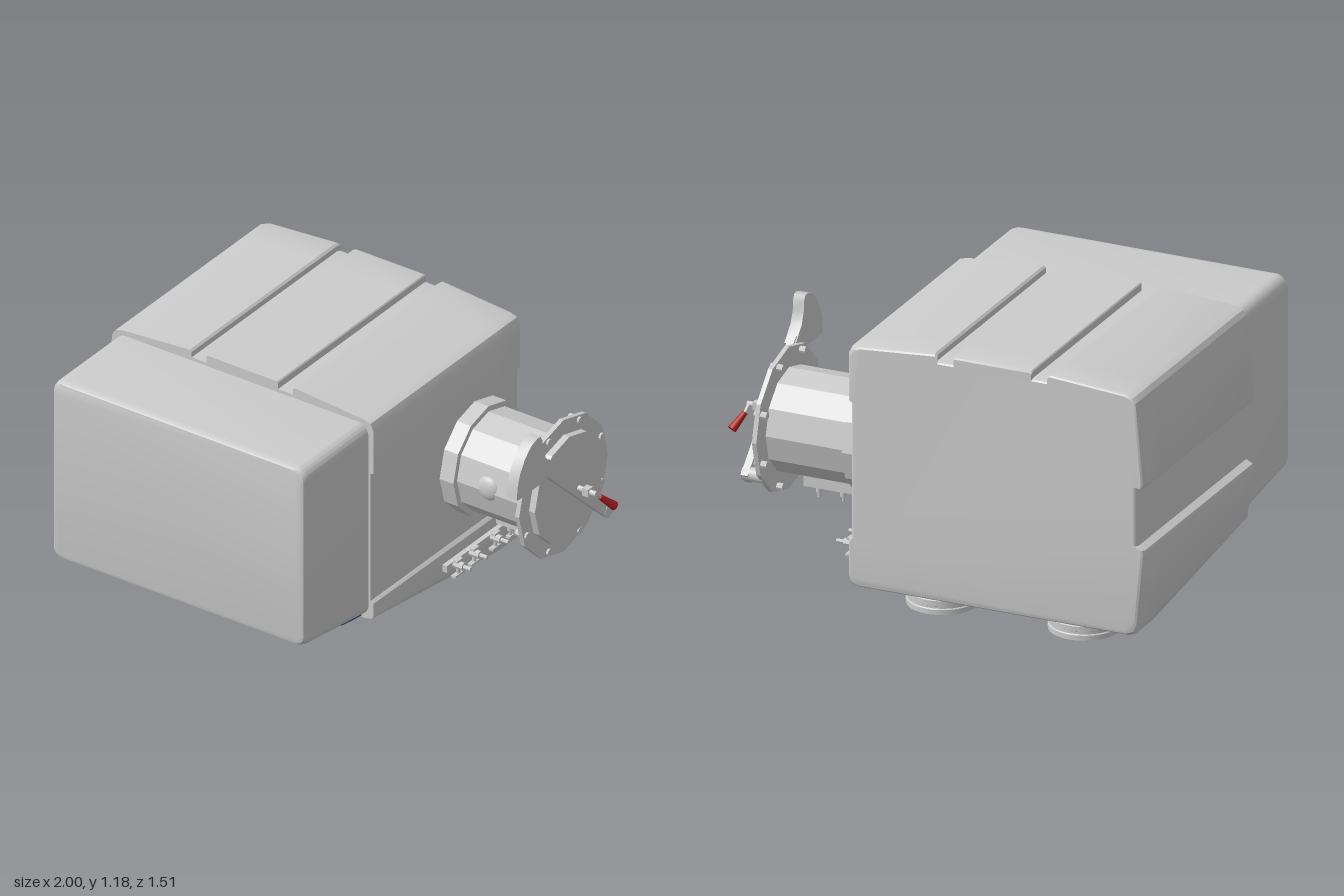
import * as THREE from 'three';
import { toCreasedNormals } from 'three/addons/utils/BufferGeometryUtils.js';

const grey = new THREE.MeshStandardMaterial({ color: 0xcccccc });
const greyDouble = new THREE.MeshStandardMaterial({ color: 0xcccccc, side: THREE.DoubleSide });
const paint = (color) => new THREE.MeshStandardMaterial({ color });
const blue = paint(0x24457a), red = paint(0xb02020), glass = paint(0x4a5552);

const DUCT_Y = 0.635, DUCT_Z = -0.435;

function add(parent, name, geo, mat = grey, x = 0, y = 0, z = 0) {
  const mesh = new THREE.Mesh(geo, mat);
  mesh.name = name;
  mesh.position.set(x, y, z);
  parent.add(mesh);
  return mesh;
}

const polygon = (pts) => new THREE.Shape(pts.map(([x, y]) => new THREE.Vector2(x, y)));

// Cylinder along x from x0 to x1
function rodX(r, x0, x1, sides = 12) {
  const g = new THREE.CylinderGeometry(r, r, x1 - x0, sides).rotateZ(-Math.PI / 2).translate((x0 + x1) / 2, 0, 0);
  return toCreasedNormals(g, 0.45);
}

// Extrude a front section through stations [z, bottom height, inset]; below the pivot it is squeezed to the bottom height
function housing(shape, stations, pivot, base) {
  const n = stations.length - 1;
  const g = new THREE.ExtrudeGeometry(shape, { depth: n, steps: n, bevelEnabled: false, curveSegments: 6 });
  const p = g.attributes.position;
  for (let i = 0; i < p.count; i++) {
    const [z, bottom, inset] = stations[Math.round(p.getZ(i))];
    let x = p.getX(i), y = p.getY(i);
    if (y < pivot) y = pivot - (pivot - y) * (pivot - bottom) / (pivot - base);
    x += (-0.32 - x) * inset;
    y += (0.65 - y) * inset;
    p.setXYZ(i, x, y, z);
  }
  return toCreasedNormals(g, 0.5);
}

function roundedRect(x0, x1, y0, y1, r) {
  const s = new THREE.Shape(), q = Math.PI / 2;
  s.absarc(x1 - r, y0 + r, r, -q, 0);
  s.absarc(x1 - r, y1 - r, r, 0, q);
  s.absarc(x0 + r, y1 - r, r, q, 2 * q);
  s.absarc(x0 + r, y0 + r, r, 2 * q, 3 * q);
  return s;
}

function buildHousings(root) {
  // Rear housing with ribbed roof and stepped side panels
  const section = polygon([
    [-0.92, 0.075], [0.31, 0.075], [0.34, 0.09], [0.35, 0.12], [0.35, 0.275], [0.335, 0.29],
    [0.335, 0.9], [0.35, 0.905], [0.35, 1.11], [0.335, 1.14], [0.3, 1.15],
    [-0.045, 1.178], [-0.055, 1.17], [-0.055, 1.145], [-0.13, 1.145], [-0.13, 1.175], [-0.135, 1.18],
    [-0.485, 1.18], [-0.49, 1.175], [-0.49, 1.145], [-0.565, 1.145], [-0.565, 1.17], [-0.575, 1.178],
    [-0.92, 1.152], [-0.95, 1.14], [-0.965, 1.12], [-1, 0.76], [-0.995, 0.745], [-0.965, 0.745],
    [-0.965, 0.48], [-0.995, 0.465], [-1, 0.45], [-0.97, 0.13], [-0.955, 0.09]]);
  add(root, 'rearHousing', housing(section, [
    [-0.75, 0.09, 0.022], [-0.745, 0.08, 0.01], [-0.728, 0.075, 0], [-0.58, 0.075, 0], [0.305, 0.2, 0],
  ], 0.285, 0.075));

  // Smooth front housing with a sloped underside
  add(root, 'frontHousing', housing(roundedRect(-0.95, 0.325, 0.21, 1.13, 0.055), [
    [0.3, 0.21, 0], [0.725, 0.272, 0], [0.743, 0.276, 0.005], [0.754, 0.28, 0.014], [0.758, 0.284, 0.026],
  ], 0.5, 0.21));
}

function buildUnderside(root) {
  // Framed window on the sloped underside of the rear housing
  const rear = new THREE.Group();
  rear.name = 'undersideWindow';
  rear.position.set(-0.315, 0.146, -0.08);
  rear.rotation.x = -0.14;
  root.add(rear);
  const outer = roundedRect(-0.58, 0.58, -0.31, 0.31, 0.01);
  outer.holes.push(new THREE.Path([[-0.55, -0.25], [-0.55, 0.24], [0.55, 0.24], [0.55, -0.25]]
    .map(([x, y]) => new THREE.Vector2(x, y))));
  const frame = new THREE.ExtrudeGeometry(outer, { depth: 0.014, bevelEnabled: false }).rotateX(Math.PI / 2);
  add(rear, 'windowFrame', frame, grey, 0, 0.002, 0);
  add(rear, 'windowPane', new THREE.BoxGeometry(1.1, 0.01, 0.49), glass, 0, -0.002, -0.005);
  for (let i = 0; i < 7; i++) for (const z of [-0.28, 0.275])
    add(rear, 'frameScrew', new THREE.CylinderGeometry(0.007, 0.007, 0.008, 8), grey, -0.54 + i * 0.18, -0.013, z);

  // Blue control strip, widening towards the duct side
  const front = new THREE.Group();
  front.name = 'controlStrip';
  front.position.set(0, 0.21, 0.3);
  front.rotation.x = -0.146;
  root.add(front);
  const strip = polygon([[-0.92, 0.005], [0.29, 0.005], [0.29, 0.14], [0.27, 0.16], [-0.1, 0.16],
    [-0.15, 0.13], [-0.22, 0.07], [-0.28, 0.055], [-0.92, 0.055]]);
  add(front, 'controlPanel',
    new THREE.ExtrudeGeometry(strip, { depth: 0.01, bevelEnabled: false }).rotateX(Math.PI / 2), blue, 0, 0.004, 0);
  for (const x of [0, 0.16]) {
    add(front, 'knobRing', new THREE.TorusGeometry(0.04, 0.006, 8, 24).rotateX(Math.PI / 2), grey, x, -0.007, 0.09);
    add(front, 'knob', new THREE.CylinderGeometry(0.022, 0.022, 0.016, 16), grey, x, -0.01, 0.09);
  }

  // Open round collars the body stands on
  const profile = [[0.135, 0.06], [0.14, 0], [0.152, 0], [0.152, 0.022], [0.147, 0.026], [0.147, 0.036], [0.155, 0.04],
    [0.155, 0.062], [0.147, 0.066], [0.147, 0.08], [0.155, 0.1]].map(([x, y]) => new THREE.Vector2(x, y));
  for (const x of [-0.64, 0.005]) {
    add(root, 'collar', toCreasedNormals(new THREE.LatheGeometry(profile, 32), 0.5), greyDouble, x, 0, -0.56);
    add(root, 'collarInside', new THREE.CircleGeometry(0.136, 32).rotateX(Math.PI / 2), grey, x, 0.055, -0.56);
  }
}

function buildDuct(root) {
  const duct = new THREE.Group();
  duct.name = 'sideDuct';
  duct.position.set(0, DUCT_Y, DUCT_Z);
  root.add(duct);
  add(duct, 'ductBase', rodX(0.25, 0.33, 0.405));
  add(duct, 'ductTube', rodX(0.225, 0.4, 0.77));
  add(duct, 'ductFlange', rodX(0.315, 0.762, 0.782));
  add(duct, 'ductDoor', rodX(0.245, 0.78, 0.812));
  for (let i = 0; i < 8; i++) {
    const a = (i + 0.5) * Math.PI / 4;
    add(duct, 'flangeBolt', rodX(0.016, 0.735, 0.792, 8), grey, 0, 0.285 * Math.cos(a), 0.285 * Math.sin(a));
  }
  // Sight port on the front of the tube
  add(duct, 'sightPort', new THREE.SphereGeometry(0.056, 20, 12).scale(1, 1, 0.5), grey, 0.555, 0.01, 0.205);
  // Bracket with two studs below the tube
  add(duct, 'bracket', new THREE.BoxGeometry(0.225, 0.07, 0.05), grey, 0.572, -0.245, 0);
  for (const x of [0.515, 0.625]) {
    add(duct, 'bracketStud', new THREE.CylinderGeometry(0.014, 0.014, 0.03, 8), grey, x, -0.29, 0);
    add(duct, 'bracketPin', new THREE.CylinderGeometry(0.007, 0.007, 0.03, 8), grey, x, -0.312, 0);
  }
}

function buildLever(root) {
  // Swing arm, counterweight and pivots; shapes are drawn in (-z, y)
  const arm = new THREE.BoxGeometry(0.65, 0.065, 0.032).rotateZ(Math.atan2(-0.43, 0.45)).rotateY(Math.PI / 2);
  add(root, 'swingArm', arm, grey, 0.85, 0.655, -0.425);
  const weight = polygon([[-0.035, 0.83], [-0.02, 0.825], [0.12, 0.825], [0.16, 0.842], [0.19, 0.83], [0.23, 0.87],
    [0.17, 0.935], [0.15, 0.985], [0.147, 1.03], [0.135, 1.053], [0.11, 1.055], [0.07, 1.04], [0.025, 1],
    [-0.01, 0.945], [-0.028, 0.89]]);
  add(root, 'counterweight', toCreasedNormals(
    new THREE.ExtrudeGeometry(weight, { depth: 0.05, bevelEnabled: false }).rotateY(Math.PI / 2), 0.5), grey, 0.83, 0, 0);
  add(root, 'armHinge', rodX(0.03, 0.775, 0.868, 16), grey, 0, 0.45, -0.645);
  add(root, 'armLatch', rodX(0.016, 0.775, 0.84, 12), grey, 0, 0.835, -0.24);

  // Crank handle with red grip
  add(root, 'handleShaft', rodX(0.012, 0.81, 0.955, 10), grey, 0, 0.66, -0.425);
  add(root, 'handleBlock', new THREE.BoxGeometry(0.03, 0.035, 0.035), grey, 0.91, 0.66, -0.425);
  const between = (a, b, r0, r1, name, mat) => {
    const d = b.clone().sub(a);
    const m = add(root, name, new THREE.CylinderGeometry(r1, r0, d.length(), 12), mat);
    m.position.copy(a).addScaledVector(d, 0.5);
    m.quaternion.setFromUnitVectors(new THREE.Vector3(0, 1, 0), d.normalize());
  };
  const tip = new THREE.Vector3(0.952, 0.632, -0.455);
  between(new THREE.Vector3(0.945, 0.665, -0.425), tip, 0.008, 0.008, 'handleNeck', grey);
  between(tip, new THREE.Vector3(0.985, 0.572, -0.512), 0.012, 0.02, 'handleGrip', red);
}

function buildManifold(root) {
  // Rail of four small valves on the lower side panel
  add(root, 'valveRail', new THREE.BoxGeometry(0.025, 0.032, 0.47), grey, 0.36, 0.212, -0.42);
  for (const z of [-0.24, -0.355, -0.505, -0.625]) {
    add(root, 'valveBody', rodX(0.018, 0.36, 0.42, 8), grey, 0, 0.215, z);
    add(root, 'valveSpout', rodX(0.009, 0.41, 0.455, 8), grey, 0, 0.215, z);
    add(root, 'valveStem', new THREE.CylinderGeometry(0.009, 0.009, 0.07, 8), grey, 0.39, 0.205, z);
    add(root, 'valveLever', new THREE.BoxGeometry(0.022, 0.01, 0.07), grey, 0.39, 0.173, z);
    add(root, 'valveCap', new THREE.BoxGeometry(0.022, 0.01, 0.04), grey, 0.39, 0.238, z);
  }
}

export function createModel() {
  const root = new THREE.Group();
  root.name = 'machine';
  buildHousings(root);
  buildUnderside(root);
  buildDuct(root);
  buildLever(root);
  buildManifold(root);
  return root;
}
